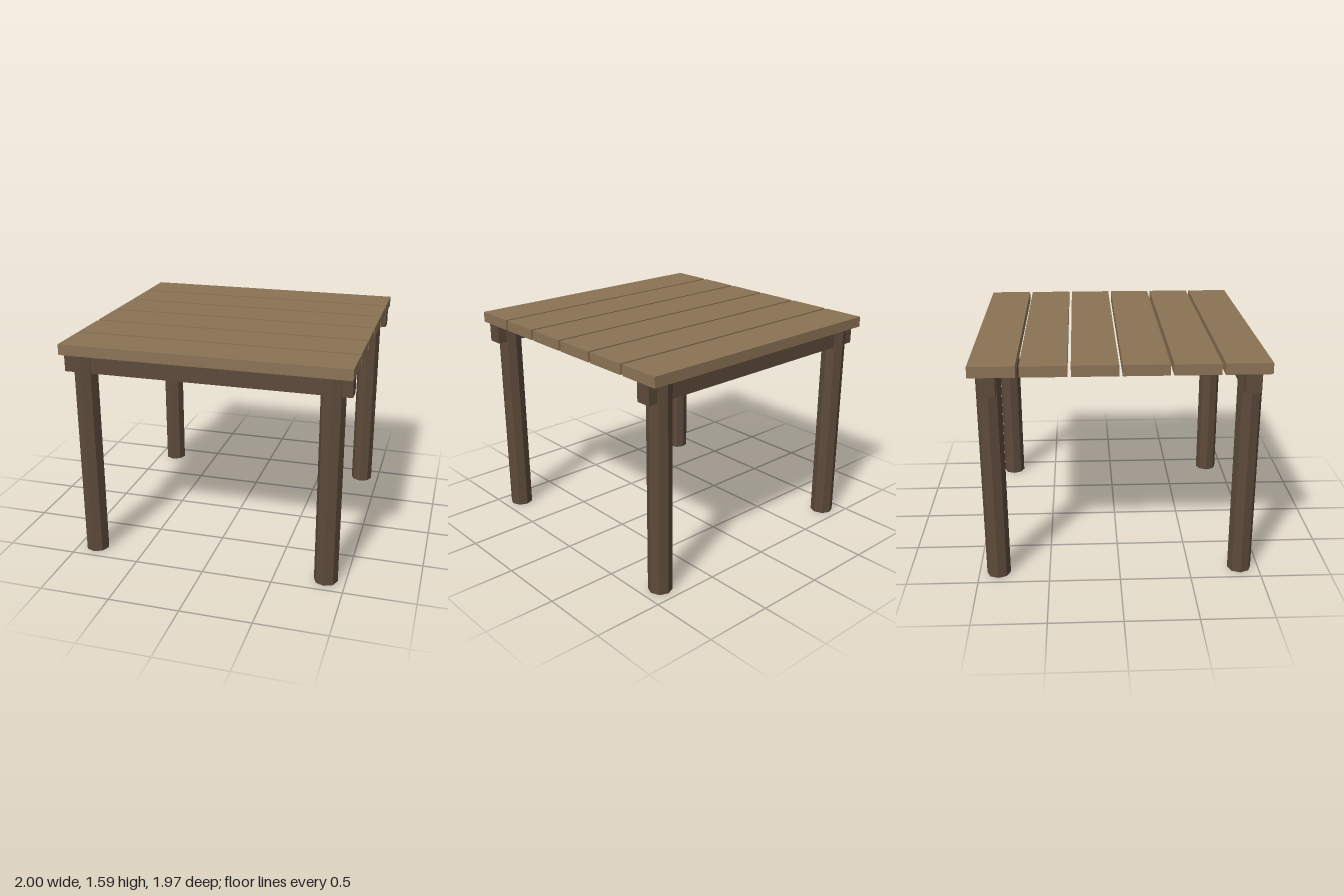
import * as THREE from 'three';

export function createModel() {
  const table = new THREE.Group();
  table.name = 'table';

  const plankWood = new THREE.MeshStandardMaterial({ color: 0x8b7355 });
  plankWood.name = 'light wood';
  const frameWood = new THREE.MeshStandardMaterial({ color: 0x5c4a3a });
  frameWood.name = 'dark wood';

  const add = (name, geometry, material, x, y, z) => {
    const mesh = new THREE.Mesh(geometry, material);
    mesh.name = name;
    mesh.position.set(x, y, z);
    table.add(mesh);
  };

  const topY = 1.59, plankHeight = 0.075, frameTop = topY - plankHeight;

  // Six planks with narrow gaps form the table top
  const plankGeometry = new THREE.BoxGeometry(2, plankHeight, 0.309);
  for (let i = 0; i < 6; i++) {
    add('plank', plankGeometry, plankWood, 0, topY - plankHeight / 2, (i - 2.5) * 0.3315);
  }

  // Beams along x carry the planks; eight-sided legs run up through them
  const beamHeight = 0.135;
  const beamGeometry = new THREE.BoxGeometry(1.985, beamHeight, 0.11);
  // Non-indexed copy with face normals keeps the facets flat
  const legGeometry = new THREE.CylinderGeometry(0.084, 0.084, frameTop, 8).toNonIndexed();
  legGeometry.computeVertexNormals();
  for (const side of [-1, 1]) {
    const z = side * 0.863;
    add(side > 0 ? 'frontBeam' : 'backBeam', beamGeometry, frameWood, 0, frameTop - beamHeight / 2, z);
    for (const x of [-0.861, 0.861]) {
      add(side > 0 ? 'frontLeg' : 'backLeg', legGeometry, frameWood, x, frameTop / 2, z);
    }
  }

  return table;
}
